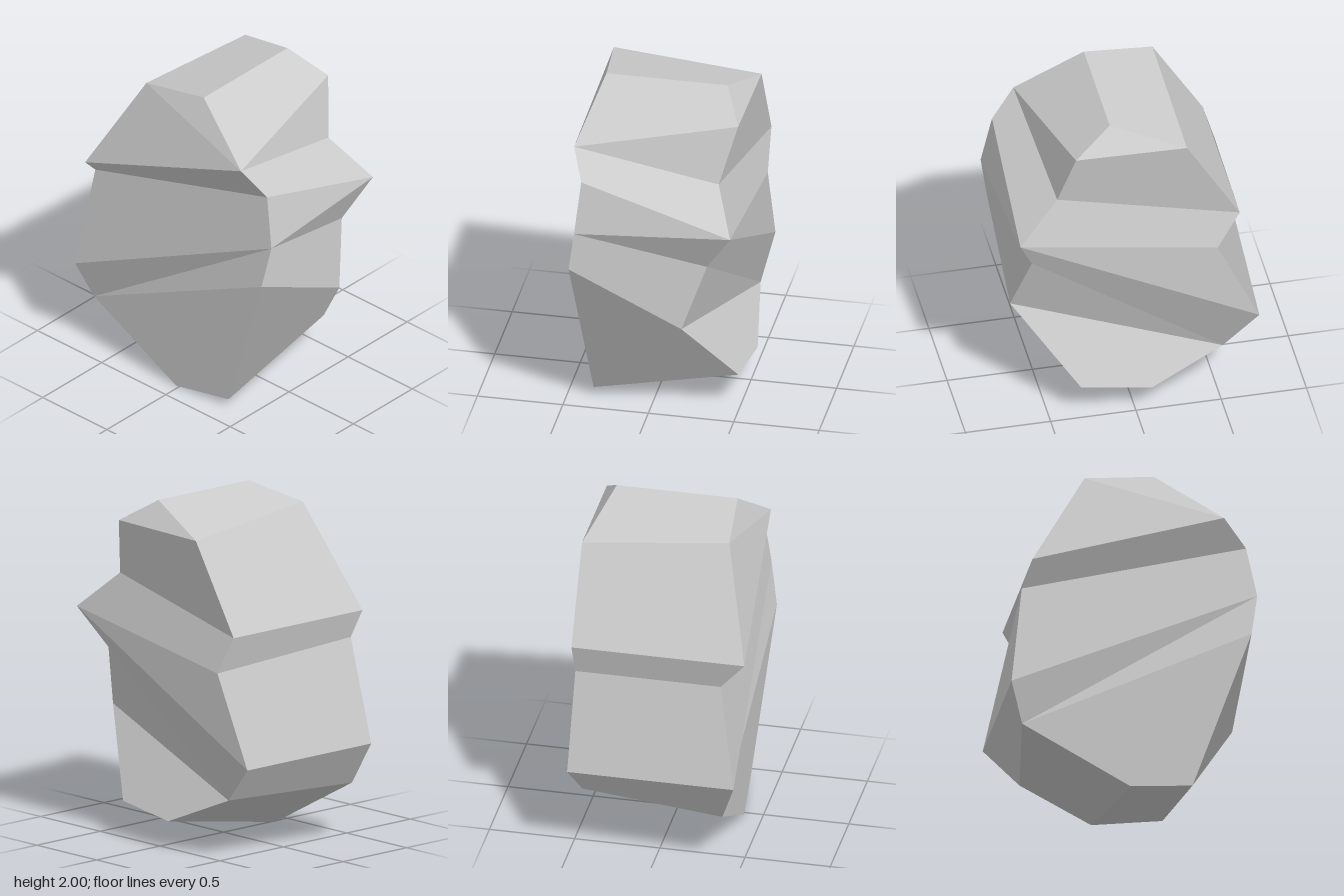
import * as THREE from 'three';

// Corners of the front rim, counter-clockwise from the top
const front = {
  A: [0.13, 2.0, 0.32], B: [-0.28, 1.94, 0.36], C: [-0.61, 1.33, 0.52], D: [-0.65, 1.2, 0.39],
  E: [-0.725, 0.57, 0.48], F: [-0.65, 0.34, 0.4], G: [-0.02, 0, 0.39], H: [0.35, 0.05, 0.35],
  I: [0.68, 1.0, 0.43], J: [0.72, 1.26, 0.39], K: [0.66, 1.57, 0.36], L: [0.52, 1.72, 0.43],
};

// Matching corners of the back rim, in lower case
const back = {
  a: [0.13, 2.0, -0.39], b: [-0.3, 1.85, -0.5], c: [-0.61, 1.33, -0.495], d: [-0.48, 1.1, -0.5],
  e: [-0.725, 0.57, -0.495], f: [-0.52, 0.35, -0.45], g: [-0.09, 0.165, -0.52], h: [0.32, 0.21, -0.49],
  i: [0.68, 0.68, -0.23], j: [0.58, 1.05, -0.36], m: [0.68, 1.3, -0.515], k: [0.44, 1.52, -0.4],
  l: [0.35, 1.86, -0.495],
};

const corners = {};
for (const [name, xyz] of Object.entries({ ...front, ...back })) corners[name] = new THREE.Vector3(...xyz);

// Each strip is a ladder of rungs; a corner repeated on two rungs makes a triangle
const strips = [
  'Aa Bb Cc Dd Ee Ff Gg Hh Ii Jj Jm Km Lk Ll Aa', // sides
  'AB LB LC KD JE JF IF HG',                      // front
  'ba bl ck dm em fj fi gh',                      // back
];

// Adds one flat-lit facet of three or four corners, split along its shorter diagonal
function addFacet(points, positions, normals) {
  const [p, q, r, s = p] = points;
  const normal = r.clone().sub(p).cross(s.clone().sub(q)).normalize();
  let triangles = [p, q, r];
  if (points.length === 4) {
    triangles = p.distanceTo(r) < q.distanceTo(s) ? [p, q, r, p, r, s] : [p, q, s, q, r, s];
  }
  for (const point of triangles) {
    positions.push(...point);
    normals.push(...normal);
  }
}

export function createModel() {
  const positions = [];
  const normals = [];
  for (const strip of strips) {
    const rungs = strip.split(' ');
    for (let n = 0; n < rungs.length - 1; n++) {
      const [p, q] = rungs[n];
      const [r, s] = rungs[n + 1];
      const names = [...new Set([p, q, s, r])];
      addFacet(names.map((name) => corners[name]), positions, normals);
    }
  }

  const geometry = new THREE.BufferGeometry();
  geometry.setAttribute('position', new THREE.Float32BufferAttribute(positions, 3));
  geometry.setAttribute('normal', new THREE.Float32BufferAttribute(normals, 3));

  const rock = new THREE.Mesh(geometry, new THREE.MeshStandardMaterial({ color: 0xcccccc }));
  rock.name = 'rock';

  const group = new THREE.Group();
  group.name = 'facetedRock';
  group.add(rock);
  return group;
}
